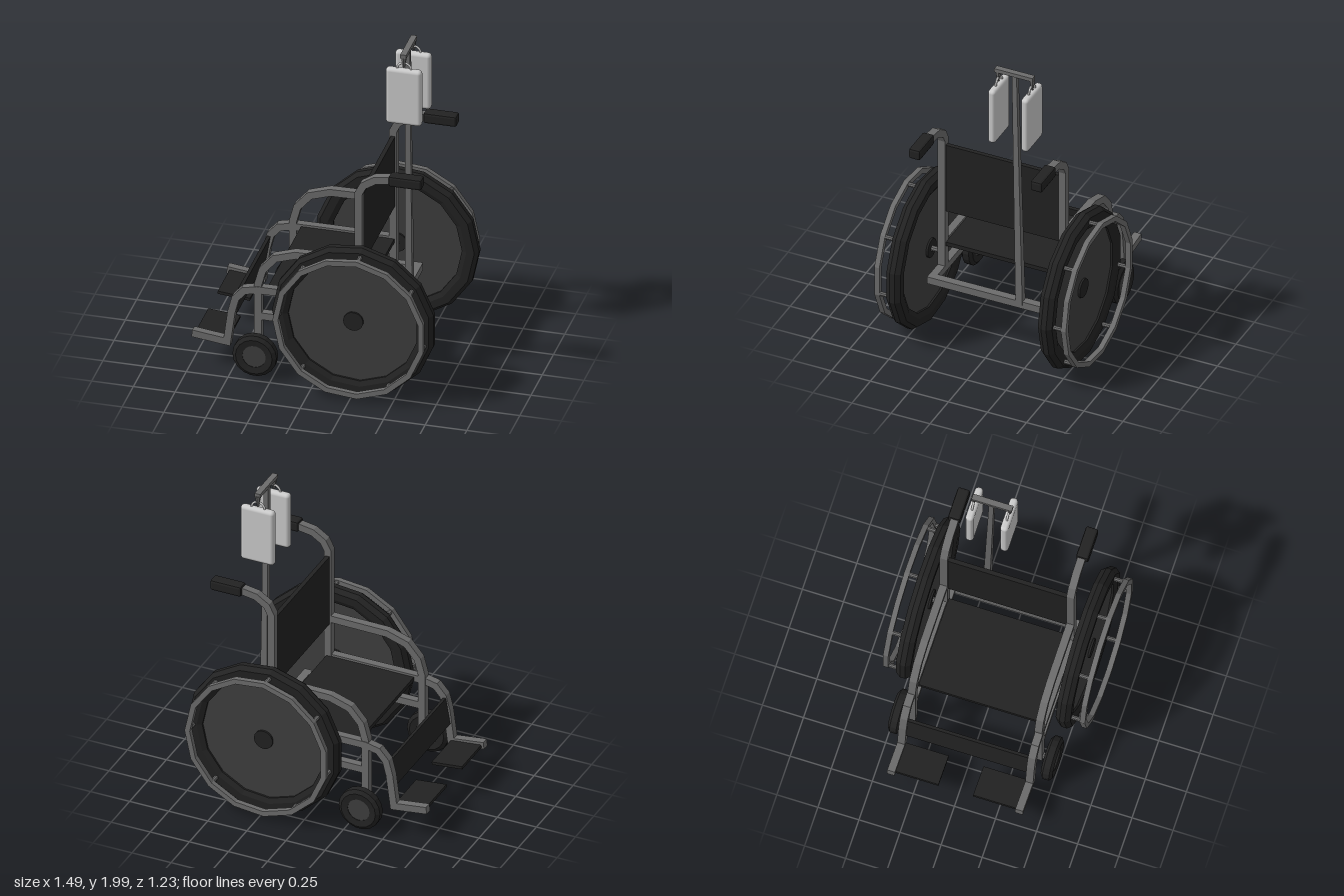
import * as THREE from 'three';
import { RoundedBoxGeometry } from 'three/addons/geometries/RoundedBoxGeometry.js';

const mat = (color, flatShading = true) => new THREE.MeshStandardMaterial({ color, flatShading });
const steel = mat(0x6c6c6c), black = mat(0x222222), disc = mat(0x3e3e3e), pale = mat(0xcccccc, false);

function add(parent, name, geometry, material, x = 0, y = 0, z = 0) {
  const mesh = new THREE.Mesh(geometry, material);
  mesh.name = name;
  mesh.position.set(x, y, z);
  parent.add(mesh);
  return mesh;
}

// Square tube bent in the xy plane, with mitred corners
function bentTube(points, width = 0.045, depth = 0.047) {
  const pts = points.map(p => new THREE.Vector2(...p));
  const dirs = pts.slice(1).map((p, i) => p.clone().sub(pts[i]).normalize());
  const left = [], right = [];
  pts.forEach((p, i) => {
    const a = dirs[Math.max(i - 1, 0)], b = dirs[Math.min(i, dirs.length - 1)];
    const t = a.clone().add(b).normalize();
    const n = new THREE.Vector2(-t.y, t.x).multiplyScalar(width / 2 / t.dot(a));
    left.push(p.clone().add(n));
    right.unshift(p.clone().sub(n));
  });
  const shape = new THREE.Shape([...left, ...right]);
  return new THREE.ExtrudeGeometry(shape, { depth, bevelEnabled: false }).translate(0, 0, -depth / 2);
}

// Closed ring or disc turned about the z axis, first corner at +x; profile is [radius, z]
function turned(profile, sides) {
  return new THREE.LatheGeometry(profile.map(p => new THREE.Vector2(...p)), sides)
    .rotateX(Math.PI / 2).rotateZ(Math.PI / 2).scale(1, 1, 1);
}
const plate = (r, h, sides) => turned([[0, -h], [r, -h], [r, h], [0, h]], sides);
const ring = (r0, r1, h, sides) => turned([[r0, -h], [r1, -h], [r1, h], [r0, h], [r0, -h]], sides);
const rod = (r, len) => new THREE.CylinderGeometry(r, r, len, 8).rotateX(Math.PI / 2);

// Drive wheel with hand rim on its +z side
function driveWheel() {
  const g = new THREE.Group();
  g.name = 'driveWheel';
  add(g, 'tyre', turned([[0.39, -0.03], [0.42, -0.045], [0.468, -0.045], [0.49, -0.016], [0.49, 0.016],
    [0.468, 0.045], [0.42, 0.045], [0.39, 0.03], [0.39, -0.03]], 15), black);
  add(g, 'wheelDisc', plate(0.395, 0.018, 15), disc);
  add(g, 'hub', plate(0.06, 0.03, 15), black);
  add(g, 'axle', rod(0.017, 0.1), steel, 0, 0, -0.07);
  add(g, 'handRim', ring(0.424, 0.457, 0.016, 15), steel, 0, 0, 0.113);
  for (const corner of [0, 2, 4, 6, 8, 10, 13]) {
    const a = corner * Math.PI * 2 / 15;
    add(g, 'rimStud', rod(0.014, 0.08), steel, 0.44 * Math.cos(a), 0.44 * Math.sin(a), 0.072);
  }
  return g;
}

function caster() {
  const g = new THREE.Group();
  g.name = 'caster';
  add(g, 'casterTyre', turned([[0.07, -0.03], [0.11, -0.036], [0.132, -0.02], [0.132, 0.02],
    [0.11, 0.036], [0.07, 0.03], [0.07, -0.03]], 18), black);
  add(g, 'casterDisc', plate(0.072, 0.027, 18), disc);
  add(g, 'casterAxle', rod(0.02, 0.09), steel, 0, 0, -0.06);
  return g;
}

export function createModel() {
  const model = new THREE.Group();
  model.name = 'wheelchair';

  // Paired wheels and side frames
  for (const s of [1, -1]) {
    const wheel = driveWheel();
    wheel.position.set(0.255, 0.5, s * 0.487);
    wheel.rotation.y = s < 0 ? Math.PI : 0;
    // the corner of the +z wheel points forward, the other one back
    wheel.children.forEach(c => {
      c.position.x *= -1;
      c.rotation.z = Math.PI;
    });
    model.add(wheel);

    const front = caster();
    front.position.set(-0.345, 0.168, s * 0.465);
    front.rotation.y = s < 0 ? Math.PI : 0;
    model.add(front);

    const z = s * 0.386;
    add(model, 'backPost', bentTube([[0.257, 0.395], [0.257, 1.29], [0.285, 1.345], [0.355, 1.39], [0.45, 1.405], [0.5, 1.405]]), steel, 0, 0, z);
    add(model, 'armRail', bentTube([[-0.345, 0.13], [-0.345, 0.6], [-0.318, 0.7], [-0.245, 0.785], [-0.12, 0.825], [0.257, 0.83]]), steel, 0, 0, z);
    add(model, 'seatRail', bentTube([[0.257, 0.565], [-0.35, 0.565], [-0.43, 0.547], [-0.48, 0.49], [-0.503, 0.4],
      [-0.53, 0.196], [-0.74, 0.222]]), steel, 0, 0, s * 0.39);
    add(model, 'lowerRail', bentTube([[-0.345, 0.393], [0.425, 0.393]]), steel, 0, 0, z);
    add(model, 'handGrip', new RoundedBoxGeometry(0.2, 0.068, 0.075, 1, 0.014), black, 0.54, 1.405, s * 0.39);
    const foot = add(model, 'footPlate', new THREE.BoxGeometry(0.195, 0.018, 0.265), black, -0.628, 0.206, s * 0.238);
    foot.rotation.z = -0.1;
  }

  // Fabric panels and rear cross bar
  add(model, 'seat', new THREE.BoxGeometry(0.56, 0.026, 0.73), black, -0.015, 0.562, 0);
  add(model, 'backrest', new THREE.BoxGeometry(0.026, 0.46, 0.74), black, 0.257, 1.025, 0);
  const strap = add(model, 'legStrap', new THREE.BoxGeometry(0.02, 0.17, 0.75), black, -0.503, 0.398, 0);
  strap.rotation.z = -0.17;
  add(model, 'crossBar', new THREE.BoxGeometry(0.05, 0.047, 0.82), steel, 0.4, 0.393, 0);

  // Tapered drip pole, leaning slightly
  const poleGeometry = new THREE.CylinderGeometry(0.021, 0.031, 1.59, 4).rotateY(Math.PI / 4);
  const pole = add(model, 'dripPole', poleGeometry, steel, 0.405, 1.19, -0.163);
  pole.rotation.x = 0.021;
  add(model, 'poleTopBar', new THREE.BoxGeometry(0.036, 0.024, 0.245), steel, 0.41, 1.988, -0.145);

  // Drip bags on hooks
  for (const z of [-0.043, -0.255]) {
    const out = z > -0.1 ? 1 : -1;
    add(model, 'hook', new THREE.CylinderGeometry(0.018, 0.007, 0.07, 6), steel, 0.41, 1.945, z + out * 0.003);
    add(model, 'bagLoop', new THREE.TorusGeometry(0.042, 0.007, 6, 12, Math.PI), pale, 0.41, 1.895, z);
    const bag = new RoundedBoxGeometry(0.215, 0.365, 0.056, 3, 0.022);
    // thinner towards the side edges
    const p = bag.attributes.position;
    for (let i = 0; i < p.count; i++) {
      const edge = Math.max(0, Math.abs(p.getX(i)) - 0.05) / 0.06;
      p.setZ(i, p.getZ(i) * (1 - 0.2 * edge));
    }
    add(model, 'dripBag', bag, pale, 0.41, 1.717, z);
  }
  return model;
}
